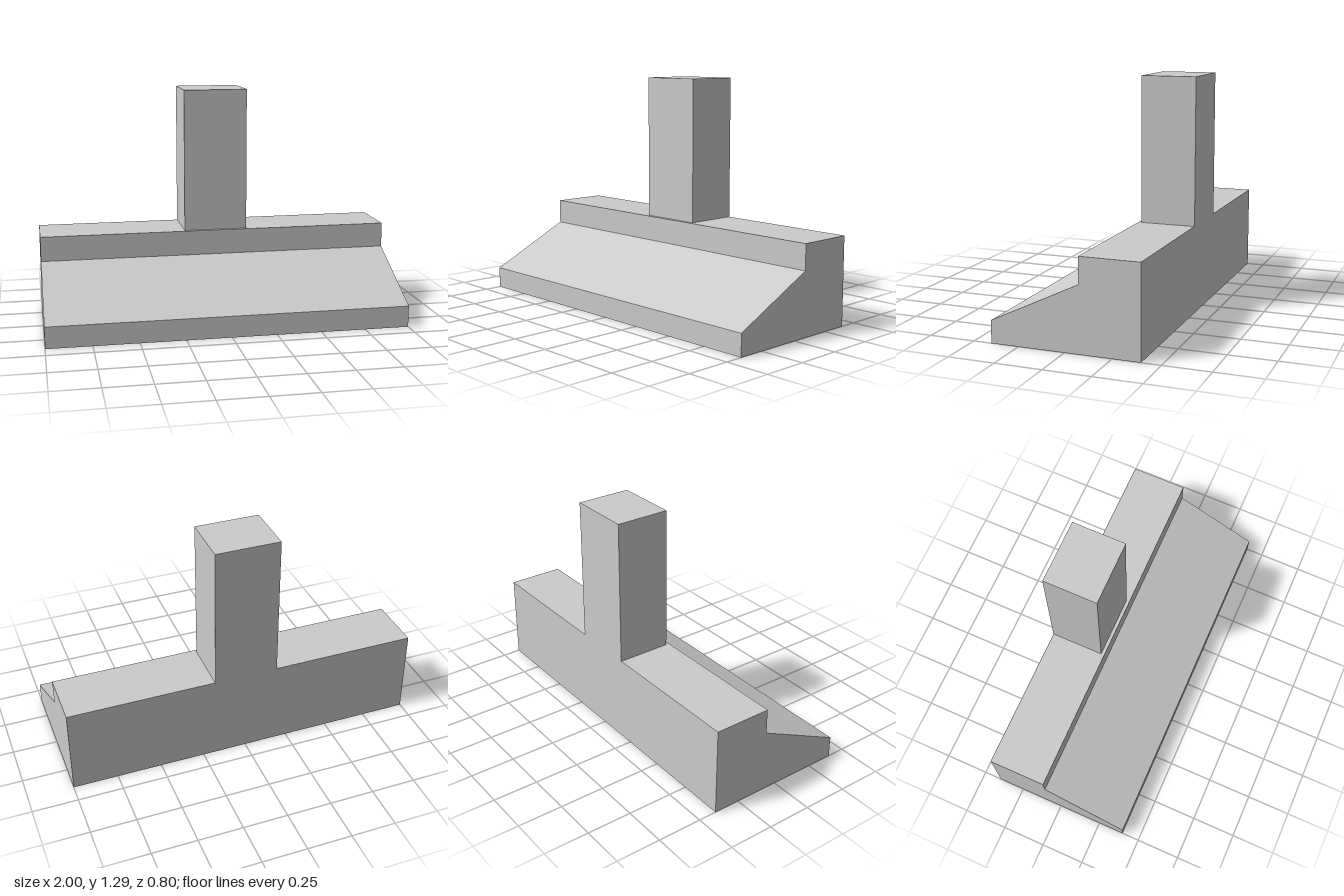
import * as THREE from 'three';

const HALF = 1, RIM = 0.02, BACK = -0.398;

// Extrudes a [z, y] side profile across the width, centred on the given x
function extrudeAcross(points, width, x) {
  const shape = new THREE.Shape(points.map(([z, y]) => new THREE.Vector2(-z, y)));
  return new THREE.ExtrudeGeometry(shape, { depth: width, bevelEnabled: false })
    .translate(0, 0, -width / 2)
    .rotateY(Math.PI / 2)
    .translate(x, 0, 0);
}

export function createModel() {
  const group = new THREE.Group();
  const steel = new THREE.MeshStandardMaterial({ color: 0xcccccc });
  const add = (name, geometry) => {
    const mesh = new THREE.Mesh(geometry, steel);
    mesh.name = name;
    group.add(mesh);
    return mesh;
  };

  // Outer side profile of the hood
  const outline = [
    [0.4, 0], [0.4, 0.12], [-0.077, 0.35],
    [-0.077, 0.49], [BACK, 0.49], [BACK, 0],
  ];

  // Underside: filter panel sloping from the back rim up behind the front lip
  const underside = [[BACK + RIM, 0], [0.4 - RIM, 0.12 - 0.003], [0.4 - RIM, 0]];
  add('canopy', extrudeAcross([...outline, ...underside], 2 * (HALF - RIM), 0));

  // Solid end plates close the recess on both sides
  for (const [name, side] of [['leftEndPlate', 1], ['rightEndPlate', -1]]) {
    add(name, extrudeAcross(outline, RIM, side * (HALF - RIM / 2)));
  }

  // Chimney duct, standing at the back of the canopy
  add('chimney', new THREE.BoxGeometry(0.36, 0.804, 0.304)).position.set(0, 0.892, -0.248);

  return group;
}
